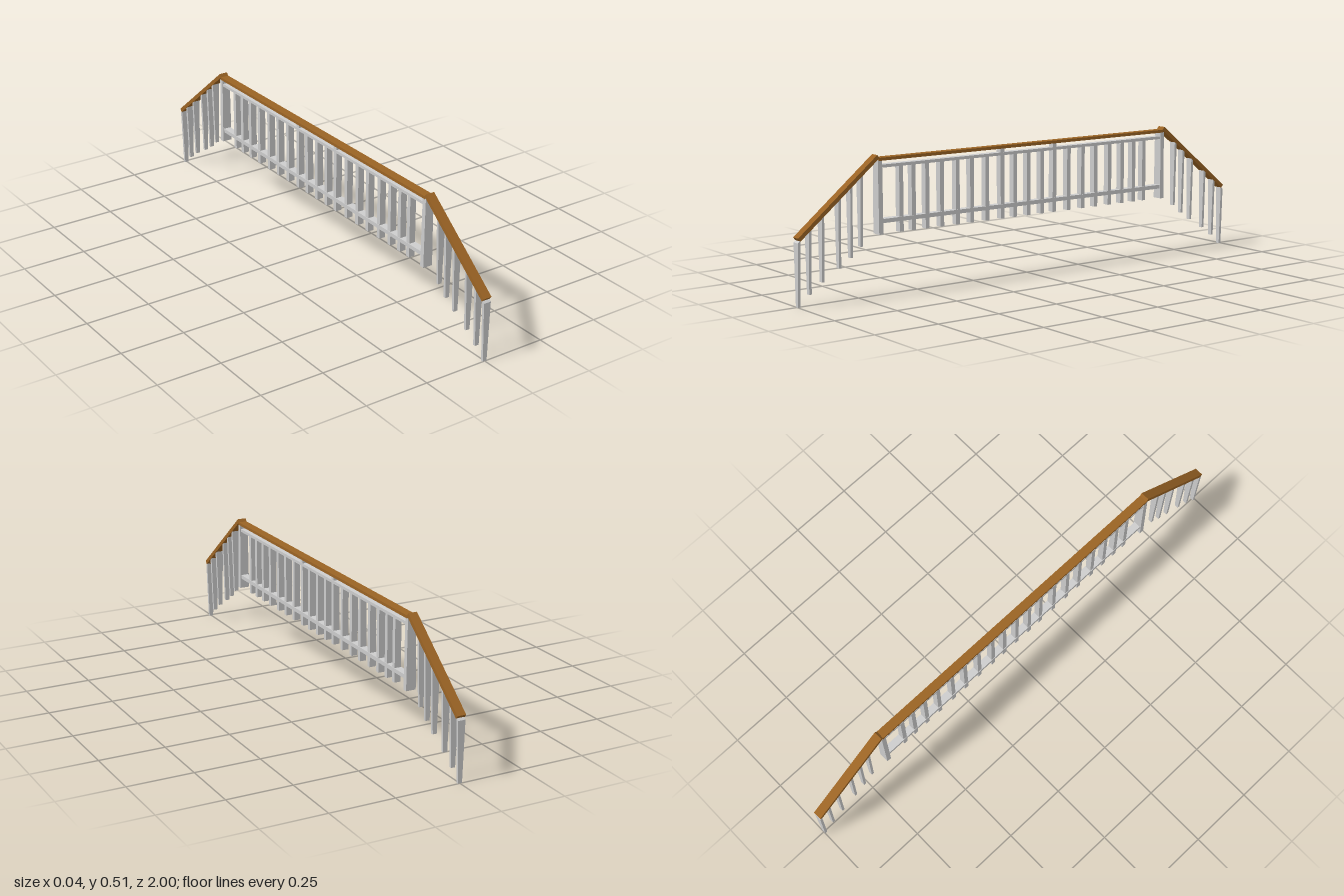
import * as THREE from 'three';

export function createModel() {
  const wood = new THREE.MeshStandardMaterial({ color: 0x9a6324 });
  wood.name = 'brown wood';
  const paint = new THREE.MeshStandardMaterial({ color: 0xcccccc });
  paint.name = 'light grey paint';
  const model = new THREE.Group();
  model.name = 'railing';

  function add(name, geometry, material, x = 0, y = 0, z = 0) {
    const mesh = new THREE.Mesh(geometry, material);
    mesh.name = name;
    mesh.position.set(x, y, z);
    model.add(mesh);
    return mesh;
  }

  // Upright with its own half width at foot and top; topAt gives the height of the cut for each z
  function upright(name, z, depth, y0, topAt, halfFoot, halfTop) {
    const g = new THREE.BoxGeometry(2, 1, depth);
    const p = g.attributes.position;
    for (let i = 0; i < p.count; i++) {
      const top = p.getY(i) > 0;
      const pz = z + p.getZ(i);
      p.setXYZ(i, p.getX(i) * (top ? halfTop : halfFoot), top ? topAt(pz) : y0, pz);
    }
    const flat = g.toNonIndexed();
    flat.computeVertexNormals();
    return add(name, flat, paint);
  }

  // Level section: handrail and two horizontal bars
  add('levelHandrail', new THREE.BoxGeometry(0.034, 0.011, 1.335), wood, 0, 0.4915, 0);
  add('upperBar', new THREE.BoxGeometry(0.028, 0.011, 1.33), paint, 0, 0.466, 0);
  add('lowerBar', new THREE.BoxGeometry(0.029, 0.015, 1.33), paint, 0, 0.269, 0);

  // Level balusters, mirrored about the middle
  const level = [0, 0.064, 0.123, 0.193, 0.262, 0.326, 0.396, 0.46, 0.519, 0.572];
  for (const z of level) {
    const tall = z === 0.123;
    for (const s of z ? [1, -1] : [1]) {
      upright(tall ? 'middlePost' : 'levelBaluster', s * z, 0.017, 0.222,
        () => (tall ? 0.487 : 0.462), 0.0125, 0.0125);
    }
  }

  // Sloped ends
  const high = new THREE.Vector2(0.674, 0.508); // (z, y) of the handrail's upper edge
  const low = new THREE.Vector2(1, 0.245);
  const length = high.distanceTo(low);
  const angle = Math.atan2(high.y - low.y, low.x - high.x);
  const thick = 0.015;
  const underside = z =>
    low.y + (low.x - Math.abs(z)) * Math.tan(angle) - thick / Math.cos(angle) + 0.002;
  const sloped = [[0.995, 0], [0.95, 0.04], [0.898, 0.077], [0.829, 0.118], [0.781, 0.15], [0.738, 0.185]];

  for (const s of [1, -1]) {
    upright('cornerPost', s * 0.663, 0.018, 0.222, () => 0.488, 0.0195, 0.0165);

    const rail = add('slopedHandrail', new THREE.BoxGeometry(0.034, thick, length), wood, 0,
      (high.y + low.y) / 2 - Math.cos(angle) * thick / 2,
      s * ((high.x + low.x) / 2 - Math.sin(angle) * thick / 2));
    rail.rotation.x = s * angle;

    for (const [z, y0] of sloped) {
      upright('slopedBaluster', s * z, 0.01, y0, underside, 0.008, 0.0148);
    }
  }
  return model;
}
